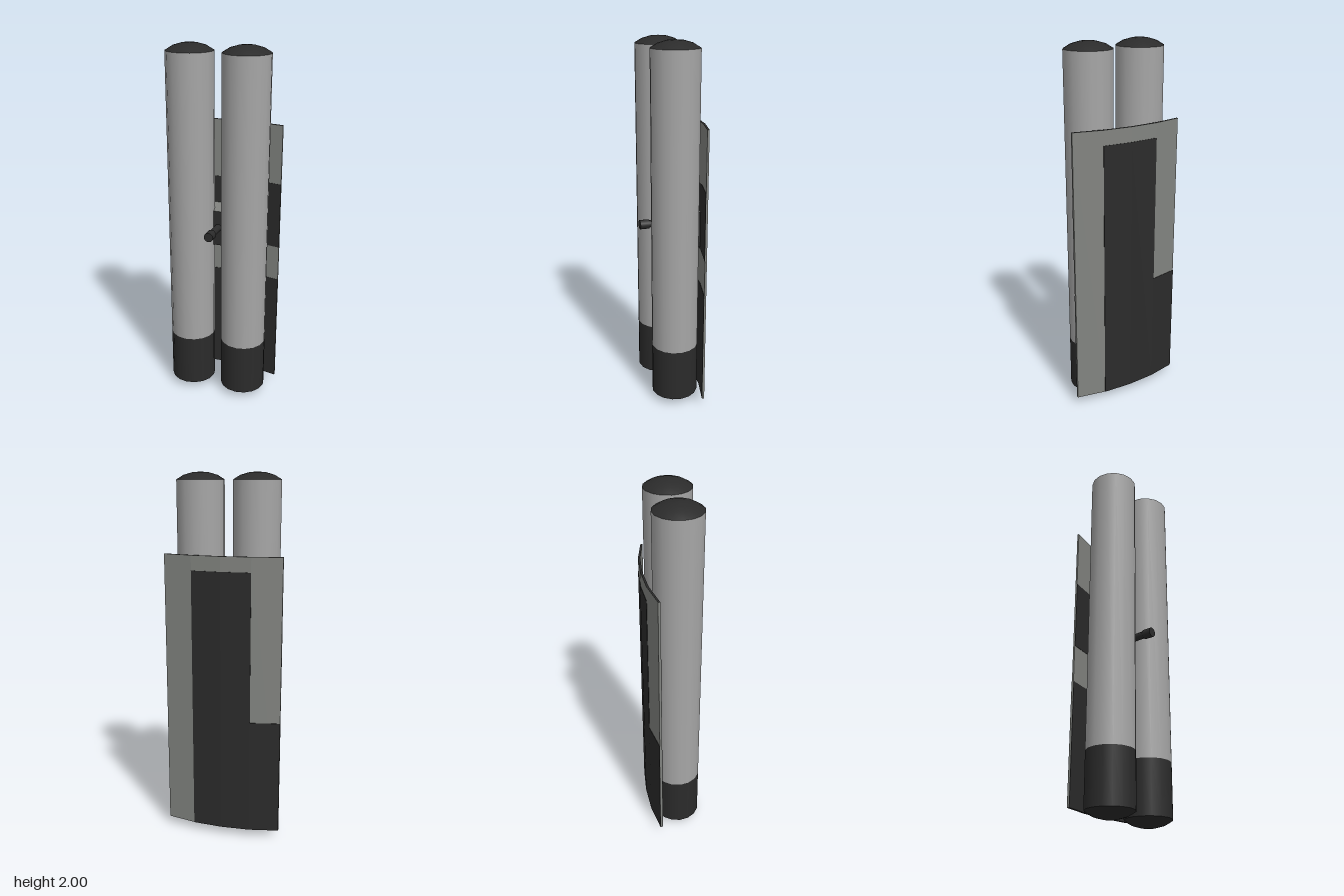
import * as THREE from 'three';

const mat = (name, color) => {
  const m = new THREE.MeshStandardMaterial({ color });
  m.name = name;
  return m;
};

export function createModel() {
  const group = new THREE.Group();
  const tankGrey = mat('tank grey', 0xa6a6a6);
  const plateGrey = mat('plate grey', 0x828480);
  const black = mat('black rubber', 0x2b2b2b);

  const add = (name, geometry, material, parent = group) => {
    const mesh = new THREE.Mesh(geometry, material);
    mesh.name = name;
    parent.add(mesh);
    return mesh;
  };
  const lathe = (pts) => new THREE.LatheGeometry(pts.map(([r, y]) => new THREE.Vector2(r, y)), 16);

  // Twin cylinders, each with a rubber boot and domed ends
  const R = 0.128;
  const dome = [[0, 0], [0.045, 0.004], [0.09, 0.017], [R, 0.04]];
  for (const [side, s] of [['left', 1], ['right', -1]]) {
    const tank = new THREE.Group();
    tank.name = side + 'Tank';
    tank.position.set(s * 0.154, 0, 0.005);
    add('bootBase', lathe(dome), black, tank);
    add('boot', lathe([[R, 0.04], [R, 0.335]]), black, tank);
    add('cylinder', lathe([[R, 0.335], [R, 1.96]]), tankGrey, tank);
    add('topDome', lathe(dome.map(([r, y]) => [r, 2 - y]).reverse()), black, tank);
    group.add(tank);
  }

  // Bent back plate: outline in x and z, extruded upwards
  const back = [[-0.322, -0.119], [-0.162, -0.152], [0, -0.162], [0.162, -0.152], [0.322, -0.119]];
  const shift = (pts, d) => pts.map(([x, z]) => [x, z + d]);
  const slab = (inner, outer, y0, y1) => {
    const outline = [...inner, ...[...outer].reverse()];
    const shape = new THREE.Shape(outline.map(([x, z]) => new THREE.Vector2(x, -z)));
    const g = new THREE.ExtrudeGeometry(shape, { depth: y1 - y0, bevelEnabled: false });
    return g.rotateX(-Math.PI / 2).translate(0, y0, 0);
  };
  const front = shift(back, 0.011);
  const Y0 = 0.045, Y1 = 1.58;
  add('backPlate', slab(front, back, Y0, Y1), [black, plateGrey]);

  // Dark bands on the front of the plate
  for (const [y0, y1] of [[Y0, 0.685], [0.885, 1.255]])
    add('frontBand', slab(shift(front, 0.002), front, y0, y1), black);

  // Dark pad on the back, reaching over the right wing at the bottom
  add('backPad', slab(back.slice(1, 4), shift(back.slice(1, 4), -0.002), Y0, 1.5), black);
  add('backPadCorner', slab(back.slice(0, 2), shift(back.slice(0, 2), -0.002), Y0, 0.685), black);

  // Bracket between the tanks, narrowing towards the front
  const bracketFront = [[-0.155, -0.12], [-0.1, -0.1], [-0.026, 0.005], [0.026, 0.005], [0.1, -0.1], [0.155, -0.12]];
  add('bracket', slab(bracketFront, [[-0.155, -0.141], [0, -0.151], [0.155, -0.141]], 0.9, 1.1), [plateGrey, black]);
  const patch = add('bracketPatch', new THREE.BoxGeometry(0.035, 0.004, 0.022), black);
  patch.position.set(-0.137, 1.101, -0.13);

  // Valve pointing forward
  const rod = (name, r, z0, z1) => {
    const g = new THREE.CylinderGeometry(r, r, z1 - z0, 12).rotateX(Math.PI / 2);
    add(name, g, black).position.set(0, 1.005, (z0 + z1) / 2);
  };
  rod('valveStem', 0.02, 0, 0.11);
  rod('valveKnob', 0.026, 0.108, 0.16);

  return group;
}
